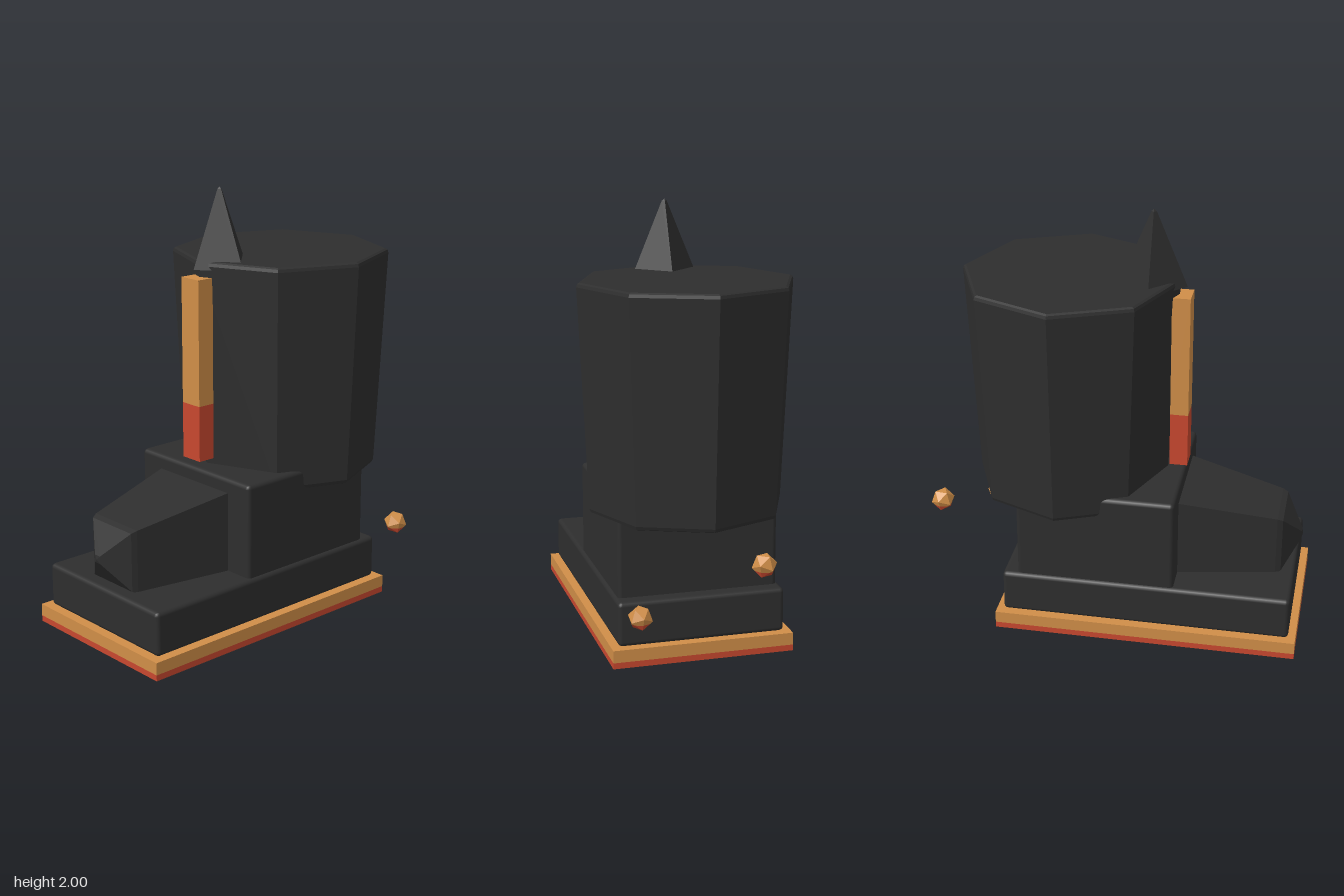
import * as THREE from 'three';
import { RoundedBoxGeometry } from 'three/addons/geometries/RoundedBoxGeometry.js';
import { ConvexGeometry } from 'three/addons/geometries/ConvexGeometry.js';

export function createModel() {
  const group = new THREE.Group();
  const material = (name, color) => {
    const m = new THREE.MeshStandardMaterial({ color });
    m.name = name;
    return m;
  };
  const dark = material('charcoal', 0x2e2e2e);
  const orange = material('amber', 0xd08e48);
  const red = material('ember red', 0xc8482f);

  const add = (name, geometry, mat, x = 0, y = 0, z = 0) => {
    const mesh = new THREE.Mesh(geometry, mat);
    mesh.name = name;
    mesh.position.set(x, y, z);
    group.add(mesh);
    return mesh;
  };

  // Block given by its half width and its y and z ranges
  const block = (name, mat, hx, y0, y1, z0, z1, bevel = 0) => {
    const size = [hx * 2, y1 - y0, z1 - z0];
    const geometry = bevel
      ? new RoundedBoxGeometry(...size, 2, bevel)
      : new THREE.BoxGeometry(...size);
    add(name, geometry, mat, 0, (y0 + y1) / 2, (z0 + z1) / 2);
  };

  // Faceted solid turned from a [radius, height] profile, bottom to top
  const faceted = (profile, sides) => {
    const points = profile.map(([r, h]) => new THREE.Vector2(r, h));
    const geometry = new THREE.LatheGeometry(points, sides).toNonIndexed();
    geometry.computeVertexNormals();
    return geometry;
  };

  // Two-tone sole
  block('soleBottom', red, 0.42, 0, 0.028, -0.53, 0.89);
  block('soleTop', orange, 0.42, 0.028, 0.085, -0.53, 0.89);

  // Foot and ankle blocks
  block('foot', dark, 0.387, 0.085, 0.29, -0.497, 0.856, 0.02);
  block('ankle', dark, 0.371, 0.27, 0.73, -0.427, 0.312, 0.02);

  // Four-sided tapered toe with a blunt point
  const toe = faceted([[0, 0.29], [0.336, 0.29], [0.208, 0.765], [0.193, 0.79], [0.025, 0.873], [0, 0.878]], 4);
  toe.rotateY(Math.PI / 4).rotateX(Math.PI / 2);
  add('toe', toe, dark, 0, 0.43, 0);

  // Eight-sided flaring shaft with softened rims
  add('shaft', faceted([
    [0, 0.635], [0.435, 0.635], [0.447, 0.64], [0.453, 0.655],
    [0.5, 1.66], [0.496, 1.674], [0.485, 1.68], [0, 1.68],
  ], 8), dark, 0, 0, -0.23);

  // Spike on the front rim
  add('spike', faceted([[0, 1.645], [0.155, 1.645], [0.012, 1.99], [0, 2]], 4), dark, 0, 0, 0.147);

  // Two-tone front stripe
  block('stripeLower', red, 0.057, 0.77, 1.03, 0.24, 0.324);
  block('stripeUpper', orange, 0.057, 1.03, 1.61, 0.24, 0.324);

  // Small floating gems, each cut at a level into red below and amber above
  const gem = (x, y, z, turn) => {
    const p = new THREE.IcosahedronGeometry(0.056, 0)
      .rotateX(0.35).rotateY(turn).getAttribute('position');
    const corners = [];
    for (let i = 0; i < p.count; i++) {
      const v = new THREE.Vector3().fromBufferAttribute(p, i);
      if (!corners.some((c) => c.distanceTo(v) < 0.001)) corners.push(v);
    }
    const cut = -0.02;
    const above = corners.filter((v) => v.y > cut);
    const below = corners.filter((v) => v.y <= cut);
    const rim = [];
    for (const a of above) {
      for (const b of below) rim.push(a.clone().lerp(b, (a.y - cut) / (a.y - b.y)));
    }
    add('gemUpper', new ConvexGeometry([...above, ...rim]), orange, x, y, z);
    add('gemLower', new ConvexGeometry([...below, ...rim]), red, x, y, z);
  };
  gem(-0.17, 0.53, -0.837, 0.4);
  gem(0.34, 0.295, -0.702, 1.1);

  return group;
}
